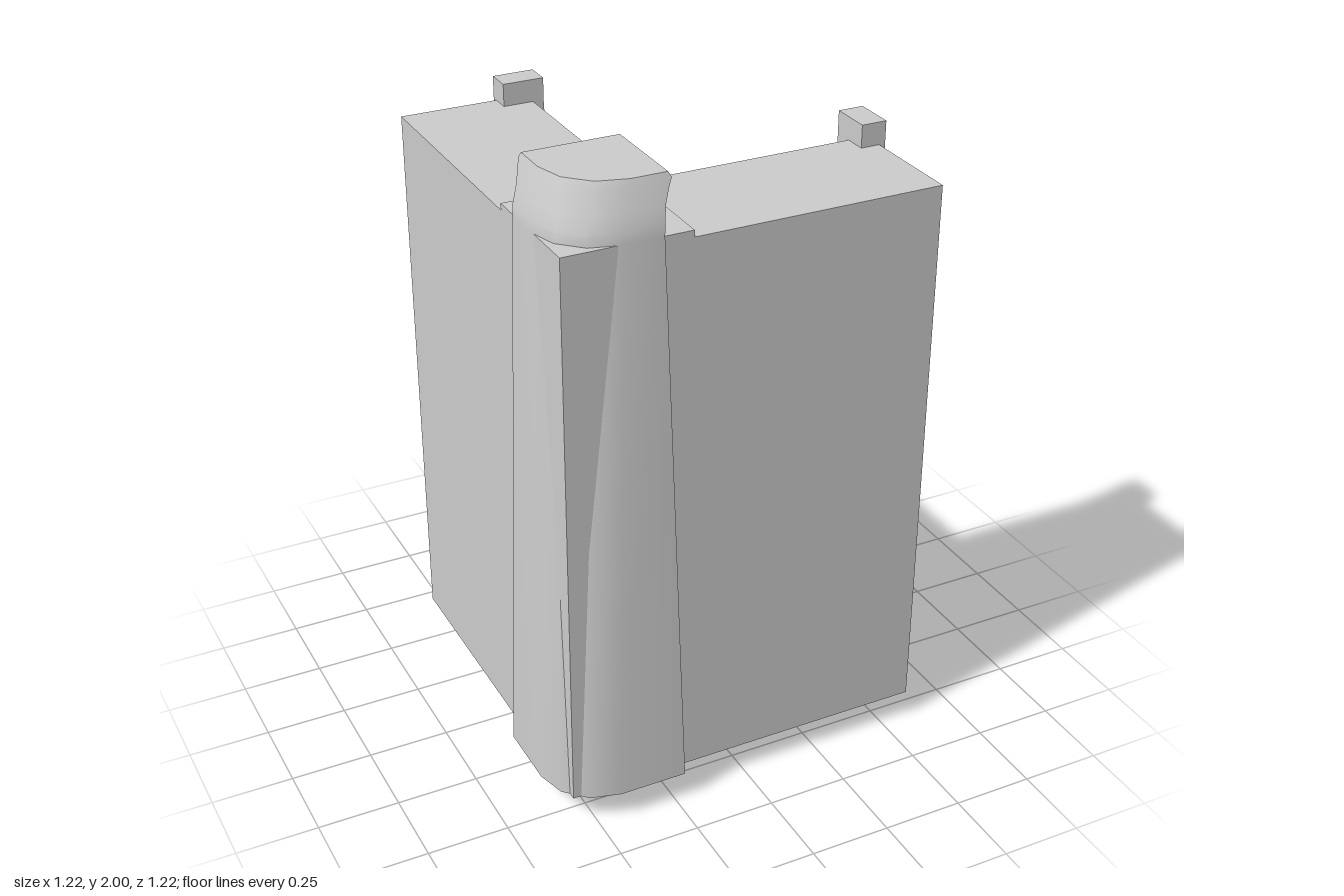
import * as THREE from 'three';
import { toCreasedNormals } from 'three/addons/utils/BufferGeometryUtils.js';

const material = new THREE.MeshStandardMaterial({ color: 0xcccccc });

// Closed solid through a list of 2D sections; place(u, v, i) puts a section point in space.
function loft(name, sections, place, crease = 0.6) {
  const rings = sections.map((s, i) => s.map(([u, v]) => new THREE.Vector3(...place(u, v, i))));
  const n = rings[0].length;
  let tris = [];
  const quadSign = Math.sign(THREE.ShapeUtils.area(sections[0].map(p => new THREE.Vector2(...p))));
  for (let i = 0; i < rings.length - 1; i++) {
    for (let j = 0; j < n; j++) {
      const k = (j + 1) % n, a = rings[i], b = rings[i + 1];
      tris.push([a[j], a[k], b[k]], [a[j], b[k], b[j]]);
    }
  }
  // End caps, wound to agree with the sides
  [0, rings.length - 1].forEach((i, end) => {
    const flat = sections[i].map(p => new THREE.Vector2(...p));
    for (const f of THREE.ShapeUtils.triangulateShape(flat, [])) {
      const same = Math.sign(THREE.ShapeUtils.area(f.map(q => flat[q]))) === quadSign;
      const t = f.map(q => rings[i][q]);
      tris.push(same === (end === 1) ? t : t.reverse());
    }
  });
  // Turn the solid outward if its volume is negative
  const cross = new THREE.Vector3();
  const volume = tris.reduce((sum, [a, b, c]) => sum + a.dot(cross.crossVectors(b, c)), 0);
  if (volume < 0) tris = tris.map(([a, b, c]) => [a, c, b]);
  const geometry = new THREE.BufferGeometry().setFromPoints(tris.flat());
  const mesh = new THREE.Mesh(toCreasedNormals(geometry, crease), material);
  mesh.name = name;
  return mesh;
}

export function createModel() {
  const group = new THREE.Group();

  // Wall cross-section (z, y): flat outside, ledge and leaning panel inside, rolled bottom edge
  const wall = [
    [0.565, 0.09], [0.565, 1.82], [0.165, 1.82], [0.195, 1.6], [0.15, 1.585],
    [0.13, 1.435], [0.155, 1.42], [-0.135, 0.235], [-0.14, 0.2], [-0.135, 0.16],
    [-0.115, 0.125], [-0.08, 0.1], [-0.04, 0.09],
  ];
  // Bent end trim (z, y)
  const trim = [
    [0.235, 1.89], [0.235, 1.81], [0.22, 1.6], [0.055, 0.8], [-0.095, 0.24], [0.07, 0],
    [-0.06, 0], [-0.225, 0.24], [-0.075, 0.8], [0.087, 1.6], [0.105, 1.8], [0.105, 1.89],
  ];

  // Two wings mirrored across the corner's diagonal, mitred where they meet
  for (const mirrored of [false, true]) {
    const side = mirrored ? 'back' : 'left';
    const place = (x, y, z) => mirrored ? [-z, y, -x] : [x, y, z];
    group.add(loft(side + 'Wall', [wall, wall], (z, y, i) => place(i ? 0.587 : -z, y, z)));
    const shift = mirrored ? 0.025 : 0;
    group.add(loft(side + 'EndTrim', [trim, trim],
      (z, y, i) => place(i ? 0.607 : 0.527, y, z + shift), 0.05));
  }

  // Thin plate on top of the corner
  const plate = new THREE.Mesh(new THREE.BoxGeometry(0.385, 0.03, 0.385), material);
  plate.name = 'cornerPlate';
  plate.position.set(-0.3725, 1.825, 0.3725);
  group.add(plate);

  // Tapered rounded corner post with a flared cap: height, outer reach, inner edge
  const levels = [
    [0.09, 0.61, 0.22], [1.84, 0.568, 0.268], [1.87, 0.566, 0.266], [1.92, 0.55, 0.257],
    [1.96, 0.538, 0.242], [1.985, 0.53, 0.23], [2, 0.525, 0.238],
  ];
  const postSections = levels.map(([, o, e]) => [
    [-o, e], [-o, o - 0.18], [-o + 0.025, o - 0.09], [-o + 0.09, o - 0.025],
    [-o + 0.18, o], [-e, o], [-e, e],
  ]);
  group.add(loft('cornerPost', postSections, (x, z, i) => [x, levels[i][0], z]));

  return group;
}
